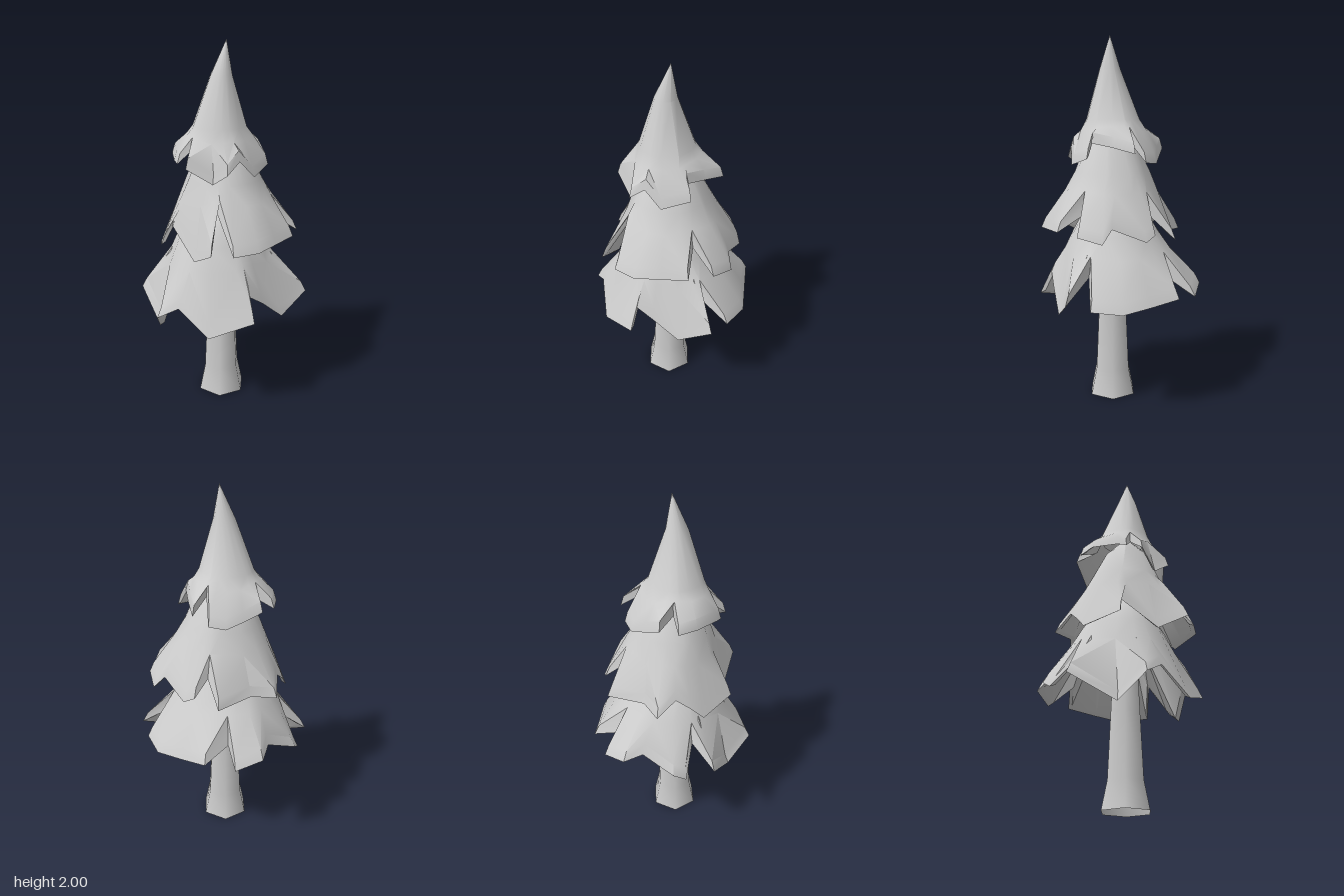
import * as THREE from 'three';
import { toCreasedNormals } from 'three/addons/utils/BufferGeometryUtils.js';

const material = new THREE.MeshStandardMaterial({ color: 0xcccccc, side: THREE.DoubleSide });

// Jagged lower edges [x, y, z], running from +x round through +z
const LOW_RIM = [
  [0.435, 0.63, -0.22], [0.385, 0.53, -0.04], [0.345, 0.65, 0.1], [0.315, 0.71, 0.185],
  [0.37, 0.585, 0.22], [0.185, 0.51, 0.375], [0.01, 0.645, 0.4], [-0.1, 0.58, 0.445],
  [-0.19, 0.455, 0.315], [-0.41, 0.6, 0.205], [-0.31, 0.72, 0.09], [-0.43, 0.57, 0.05],
  [-0.44, 0.61, -0.02], [-0.35, 0.69, -0.18], [-0.37, 0.66, -0.285], [-0.26, 0.62, -0.39],
  [-0.17, 0.7, -0.3], [-0.11, 0.645, -0.45], [0.05, 0.62, -0.43], [0.21, 0.6, -0.41],
  [0.34, 0.61, -0.31], [0.26, 0.74, -0.15],
];
const MIDDLE_RIM = [
  [0.41, 0.99, -0.09], [0.39, 0.98, 0.05], [0.37, 0.97, 0.19], [0.285, 0.96, 0.295],
  [0.14, 1.15, 0.23], [0.2, 0.97, 0.37], [0.05, 0.89, 0.31], [-0.14, 1.04, 0.25],
  [-0.17, 0.94, 0.31], [-0.3, 0.89, 0.15], [-0.31, 0.96, 0.08], [-0.31, 1.02, 0],
  [-0.355, 0.94, -0.1], [-0.235, 0.95, -0.165], [-0.145, 0.94, -0.36], [-0.04, 1.06, -0.28],
  [-0.01, 0.98, -0.37], [0.05, 0.95, -0.38], [0.21, 1.02, -0.305], [0.275, 0.95, -0.32],
  [0.365, 0.98, -0.22], [0.255, 1.08, -0.115],
];
const TOP_RIM = [
  [0.25, 1.32, 0.05], [0.21, 1.41, 0.13], [0.19, 1.35, 0.21], [0.1, 1.29, 0.21],
  [-0.02, 1.37, 0.28], [-0.05, 1.44, 0.2], [-0.1, 1.38, 0.245], [-0.14, 1.39, 0.22],
  [-0.24, 1.4, 0.11], [-0.27, 1.39, 0.015], [-0.165, 1.44, -0.005], [-0.25, 1.4, -0.08],
  [-0.18, 1.36, -0.15], [-0.115, 1.33, -0.22], [-0.03, 1.34, -0.25], [0.03, 1.46, -0.16],
  [0.05, 1.39, -0.27], [0.13, 1.42, -0.175], [0.2, 1.44, -0.08], [0.24, 1.36, -0.1],
];

// Lofts a hollow skirt: tip, round rings [y, radius, cx, cz], flared shoulder, bevelled lip, inside
function skirt(name, rim, tip, rings) {
  const n = rim.length;
  const angles = rim.map(([x, , z]) => Math.atan2(z, x - 0.02));
  const round = ([y, r, cx, cz]) =>
    angles.map((a) => [cx + r * Math.cos(a), y, cz + r * Math.sin(a)]);
  const inset = (s, rise) => rim.map(([x, y, z]) => [0.02 + (x - 0.02) * s, y + rise, z * s]);
  const lip = inset(0.94, 0.055);
  const ring = rings[rings.length - 1];

  // The shoulder follows the lip, smoothed across neighbouring flaps and notches
  const shoulder = round(ring).map((p, i) => {
    const near = [lip[(i + n - 1) % n], lip[i], lip[(i + 1) % n]];
    const q = p.map((v, k) => v + 0.4 * ((near[0][k] + near[1][k] + near[2][k]) / 3 - v));
    return [q[0], Math.max(q[1], lip[i][1] + 0.01), q[2]];
  });

  const [y, r, cx, cz] = ring;
  const loops = [
    rim.map(() => tip), ...rings.map(round), shoulder, lip, rim,
    inset(0.93, 0.015), round([y, r * 0.9, cx, cz]),
  ];
  const points = loops.flat();
  const reach = (i, j) =>
    Math.hypot(points[i][0] + points[j][0] - 0.04, points[i][2] + points[j][2]);

  // Split each quad along the diagonal that bulges outwards, or inwards for the inside wall
  const index = [];
  for (let k = 0; k < loops.length - 1; k++) {
    const inside = k === loops.length - 2;
    for (let i = 0; i < n; i++) {
      const a = k * n + i, b = k * n + ((i + 1) % n), c = a + n, d = b + n;
      if (k === 0) index.push(b, d, c);
      else if ((reach(a, d) > reach(b, c)) !== inside) index.push(a, b, d, a, d, c);
      else index.push(a, b, c, b, d, c);
    }
  }
  const geometry = new THREE.BufferGeometry();
  geometry.setAttribute('position', new THREE.Float32BufferAttribute(points.flat(), 3));
  geometry.setIndex(index);
  const mesh = new THREE.Mesh(toCreasedNormals(geometry, 0.6), material);
  mesh.name = name;
  return mesh;
}

export function createModel() {
  const tree = new THREE.Group();
  tree.name = 'pineTree';

  // Flared six-sided trunk, open at the foot
  const profile = [[0.138, 0], [0.105, 0.15], [0.088, 0.5], [0.08, 0.68], [0.06, 0.95]]
    .map(([r, y]) => new THREE.Vector2(r, y));
  const trunk = new THREE.Mesh(new THREE.LatheGeometry(profile, 6, Math.PI / 2), material);
  trunk.name = 'trunk';
  trunk.position.set(0.018, 0, 0.013);
  tree.add(trunk);

  // Three overlapping tiers of foliage
  tree.add(
    skirt('lowerFoliage', LOW_RIM, [0.02, 1.2, 0],
      [[1.1, 0.15, 0.01, 0], [0.95, 0.235, 0, 0.01]]),
    skirt('middleFoliage', MIDDLE_RIM, [0.03, 1.6, 0],
      [[1.45, 0.13, 0.03, 0.01], [1.28, 0.205, 0.025, 0]]),
    skirt('topFoliage', TOP_RIM, [0.04, 2, 0],
      [[1.82, 0.058, 0.025, 0.025], [1.56, 0.145, 0.01, 0.02]]),
  );
  return tree;
}
